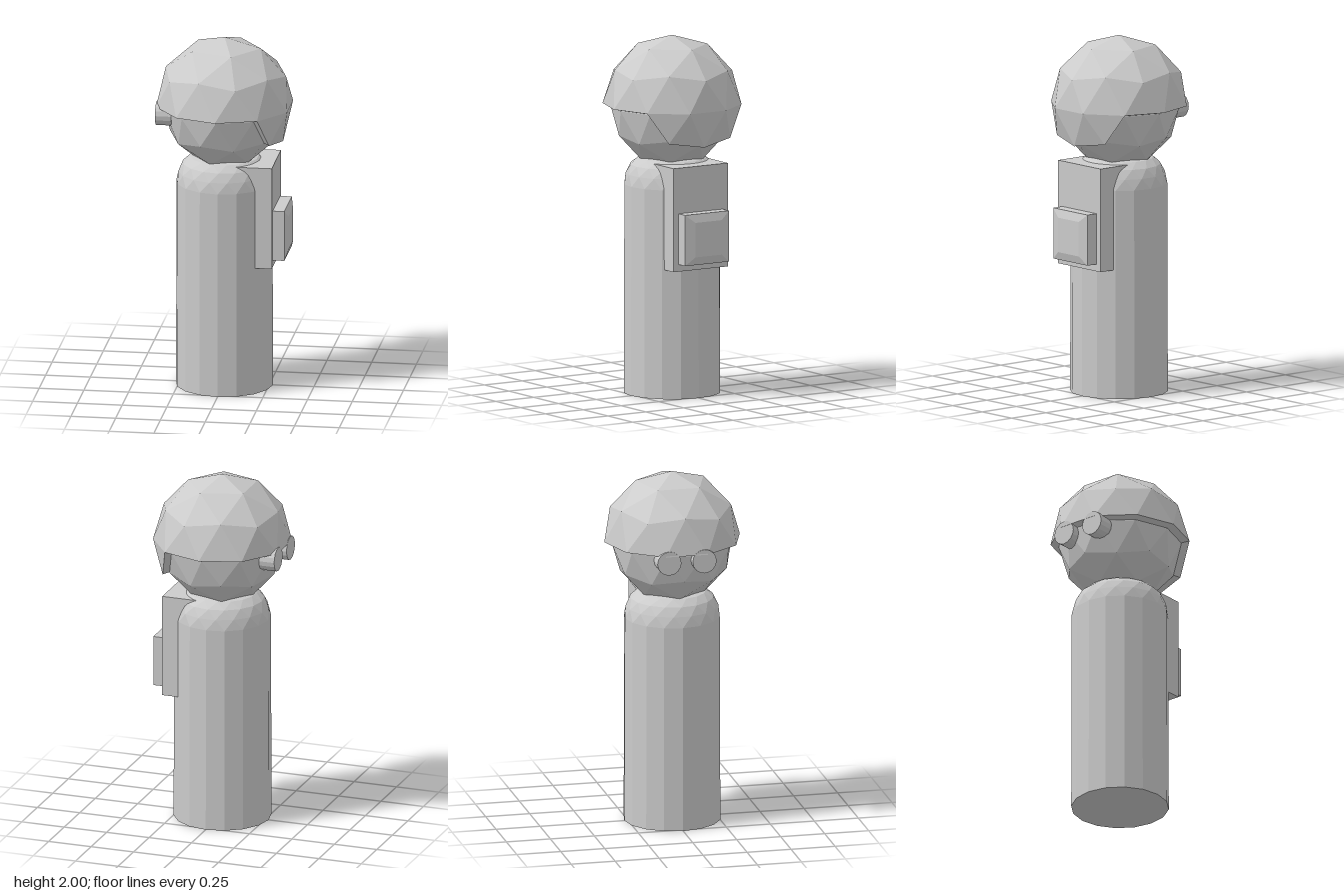
import * as THREE from 'three';

const material = new THREE.MeshStandardMaterial({ color: 0xcccccc, flatShading: true });

function add(parent, name, geometry, x = 0, y = 0, z = 0) {
  const mesh = new THREE.Mesh(geometry, material);
  mesh.name = name;
  mesh.position.set(x, y, z);
  parent.add(mesh);
  return mesh;
}

// 80-sided ball with a corner at the top and the next corner towards +x
function ball(radius) {
  const g = new THREE.IcosahedronGeometry(radius, 1);
  g.rotateX(-Math.atan2((1 + Math.sqrt(5)) / 2, 1));
  g.rotateY(Math.PI / 2);
  return g;
}

// Thick cap: upper half of the ball plus the nape panel at +x
function hairGeometry(radius) {
  const src = ball(radius).getAttribute('position');
  const inner = p => p.clone().multiplyScalar(0.86).add(new THREE.Vector3(0, -0.012, 0));
  const key = p => p.toArray().map(v => Math.round(v * 1000) + 0).join();
  const out = [];
  const edges = new Map();
  const tri = (...points) => points.forEach(p => out.push(...p.toArray()));
  for (let i = 0; i < src.count; i += 3) {
    const t = [0, 1, 2].map(k => new THREE.Vector3().fromBufferAttribute(src, i + k));
    const x = (t[0].x + t[1].x + t[2].x) / 3;
    const y = (t[0].y + t[1].y + t[2].y) / 3;
    if (y < 0 && (x < radius * 0.7)) continue;
    tri(...t);
    tri(inner(t[2]), inner(t[1]), inner(t[0]));
    for (let k = 0; k < 3; k++) {
      const a = t[k], b = t[(k + 1) % 3];
      const twin = key(b) + '|' + key(a);
      if (edges.has(twin)) edges.delete(twin);
      else edges.set(key(a) + '|' + key(b), [a, b]);
    }
  }
  // Rim along the open edges
  for (const [a, b] of edges.values()) {
    tri(b, a, inner(a));
    tri(b, inner(a), inner(b));
  }
  const g = new THREE.BufferGeometry();
  g.setAttribute('position', new THREE.Float32BufferAttribute(out, 3));
  g.computeVertexNormals();
  return g;
}

// Column with a rounded shoulder; shoulder rings turn by half a side each
function bodyGeometry() {
  const sides = 16;
  const profile = [[0, 0], [0.271, 0], [0.268, 1.17], [0.256, 1.23], [0.232, 1.28],
    [0.19, 1.315], [0.12, 1.33], [0, 1.335]].map(p => new THREE.Vector2(...p));
  const g = new THREE.LatheGeometry(profile, sides);
  const pos = g.getAttribute('position');
  const p = new THREE.Vector3();
  const up = new THREE.Vector3(0, 1, 0);
  for (let i = 0; i < pos.count; i++) {
    const ring = Math.max(0, (i % profile.length) - 2);
    p.fromBufferAttribute(pos, i).applyAxisAngle(up, ring * Math.PI / sides);
    pos.setXYZ(i, p.x, p.y, p.z);
  }
  return g;
}

// Pocket with a shallow tapered outer face
function pocketGeometry() {
  const w = 0.1;
  const g = new THREE.BoxGeometry(w, 0.285, 0.29, 2, 1, 1);
  const pos = g.getAttribute('position');
  for (let i = 0; i < pos.count; i++) {
    const x = pos.getX(i);
    if (Math.abs(x) < 0.001) pos.setX(i, w / 2 - 0.015);
    else if (x > 0) pos.setXYZ(i, x, pos.getY(i) * 0.68, pos.getZ(i) * 0.6);
  }
  return g;
}

export function createModel() {
  const model = new THREE.Group();
  model.name = 'figure';

  add(model, 'body', bodyGeometry());
  add(model, 'head', ball(0.34), 0, 1.6, 0);
  add(model, 'hair', hairGeometry(0.385), 0, 1.615, 0);

  // Round eyes on the -x side
  for (const side of [-1, 1]) {
    const eye = new THREE.CylinderGeometry(0.068, 0.068, 0.09, 16);
    eye.rotateZ(Math.PI / 2);
    add(model, side > 0 ? 'eyeLeft' : 'eyeRight', eye, -0.32, 1.577, side * 0.1);
  }

  // Backpack on the +x side
  const pack = new THREE.Group();
  pack.name = 'backpack';
  add(pack, 'packCase', new THREE.BoxGeometry(0.2, 0.58, 0.36), 0.19, 1.015, 0);
  add(pack, 'packPocket', pocketGeometry(), 0.32, 0.907, 0);
  model.add(pack);

  return model;
}
